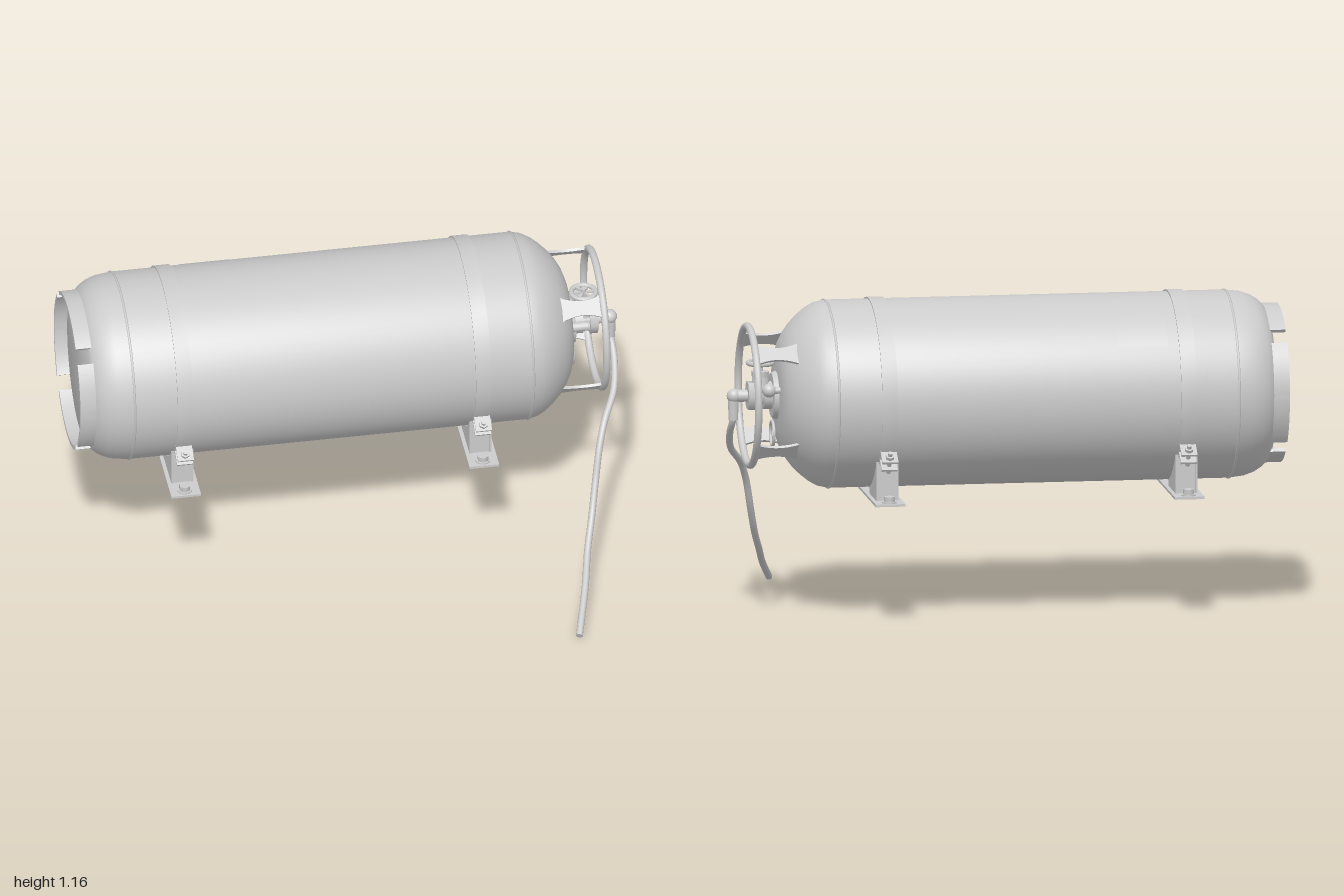
import * as THREE from 'three';
import { toCreasedNormals } from 'three/addons/utils/BufferGeometryUtils.js';

const CY = 0.8125, CZ = -0.238, R = 0.3375;
const mat = new THREE.MeshStandardMaterial({ color: 0xcccccc });
const thin = new THREE.MeshStandardMaterial({ color: 0xcccccc, side: THREE.DoubleSide });

function add(parent, name, geo, x = 0, y = 0, z = 0, m = mat) {
  const mesh = new THREE.Mesh(geo, m);
  mesh.name = name;
  mesh.position.set(x, y, z);
  parent.add(mesh);
  return mesh;
}

// Cylinder lying along x
function rod(r, len, sides = 24, r2 = r) {
  return new THREE.CylinderGeometry(r2, r, len, sides).rotateZ(-Math.PI / 2);
}

// Profile of [x, radius] points revolved about x
function turned(points, sides = 72) {
  const g = new THREE.LatheGeometry(points.map(([x, r]) => new THREE.Vector2(r, x)), sides);
  return toCreasedNormals(g.rotateZ(-Math.PI / 2), 0.6);
}

function extrude(shape, depth, curveSegments = 20) {
  return new THREE.ExtrudeGeometry(shape, { depth, bevelEnabled: false, curveSegments });
}

function buildTank(tank) {
  add(tank, 'tankShell', turned([
    [-0.955, 0], [-0.955, 0.265], [-0.945, 0.284], [-0.925, 0.303], [-0.9, 0.319], [-0.865, 0.331],
    [-0.81, R], [0.64, R], [0.675, 0.33], [0.705, 0.314], [0.735, 0.29], [0.763, 0.262],
    [0.785, 0.233], [0.803, 0.2], [0.815, 0.165], [0.82, 0.12], [0.822, 0]]));
  for (const x of [-0.81, 0.64])
    add(tank, 'weldBead', new THREE.TorusGeometry(R - 0.001, 0.005, 6, 72).rotateY(Math.PI / 2), x);
  // Curved plate on the upper back
  add(tank, 'namePlate', new THREE.CylinderGeometry(R + 0.001, R + 0.001, 0.18, 12, 1, true, 0, 0.42)
    .rotateZ(-Math.PI / 2).rotateX(-2.55), -0.47, 0, 0, thin);

  // Foot ring in four arcs with gaps on the diagonals
  const a0 = Math.PI / 4 + 0.1, a1 = 3 * Math.PI / 4 - 0.1;
  const arc = new THREE.Shape();
  arc.absarc(0, 0, 0.286, a0, a1, false);
  arc.absarc(0, 0, 0.272, a1, a0, true);
  const arcGeo = toCreasedNormals(extrude(arc, 0.07).rotateY(Math.PI / 2), 0.6);
  for (let i = 0; i < 4; i++)
    add(tank, 'footRingSegment', arcGeo, -1).rotation.x = i * Math.PI / 2;

  // Guard ring on four waisted brackets
  add(tank, 'guardRing', new THREE.TorusGeometry(0.25, 0.0135, 12, 72).rotateY(Math.PI / 2), 0.92);
  const s = new THREE.Shape();
  s.moveTo(0.755, -0.05);
  s.quadraticCurveTo(0.84, -0.005, 0.92, -0.045);
  s.lineTo(0.92, 0.045);
  s.quadraticCurveTo(0.84, 0.005, 0.755, 0.05);
  const bracket = extrude(s, 0.01).translate(0, 0, 0.243);
  for (let i = 0; i < 4; i++)
    add(tank, 'guardBracket', bracket).rotation.x = (i + 0.5) * Math.PI / 2;
}

function buildValve(tank) {
  const valve = new THREE.Group();
  valve.name = 'valve';
  tank.add(valve);
  add(valve, 'valveCollar', rod(0.088, 0.02, 32, 0.08), 0.828);
  add(valve, 'valveNeck', rod(0.05, 0.04), 0.85);
  add(valve, 'valveBody', rod(0.036, 0.09), 0.88);
  add(valve, 'outletNut', rod(0.055, 0.03, 6), 0.91);
  add(valve, 'outletPipe', rod(0.022, 0.06), 0.945);
  add(valve, 'elbow', new THREE.SphereGeometry(0.026, 20, 14), 0.973);
  add(valve, 'elbowSleeve', new THREE.CylinderGeometry(0.02, 0.017, 0.085, 20), 0.975, -0.045);

  // Handwheel above the body
  add(valve, 'bonnet', new THREE.CylinderGeometry(0.028, 0.034, 0.05, 20), 0.877, 0.05);
  add(valve, 'bonnetNut', new THREE.CylinderGeometry(0.034, 0.034, 0.02, 6), 0.877, 0.078);
  add(valve, 'valveStem', new THREE.CylinderGeometry(0.01, 0.01, 0.06, 12), 0.877, 0.105);
  add(valve, 'handwheelRim', new THREE.TorusGeometry(0.044, 0.009, 10, 32).rotateX(Math.PI / 2), 0.877, 0.118);
  for (let i = 0; i < 3; i++)
    add(valve, 'handwheelSpoke', new THREE.BoxGeometry(0.085, 0.007, 0.01), 0.877, 0.118).rotation.y = i * Math.PI / 3;

  // Side fittings and hanging loop
  add(valve, 'ballFitting', new THREE.SphereGeometry(0.025, 20, 14), 0.86, 0.033, -0.1);
  add(valve, 'ballStem', rod(0.012, 0.05, 16), 0.838, 0.033, -0.1);
  add(valve, 'plug', rod(0.017, 0.06, 20), 0.848, 0.043, 0.103);
  add(valve, 'plugRim', new THREE.TorusGeometry(0.015, 0.004, 8, 24).rotateY(Math.PI / 2), 0.878, 0.043, 0.103);
  add(valve, 'loop', new THREE.TorusGeometry(0.044, 0.006, 8, 36).rotateY(Math.PI / 2), 0.835, -0.138, -0.008);
}

function buildMount(tank, x) {
  const mount = new THREE.Group();
  mount.name = 'mount';
  mount.position.x = x;
  tank.add(mount);
  const floor = 0.463 - CY, r = R + 0.003;
  add(mount, 'strap', turned([[-0.028, R - 0.004], [-0.028, R + 0.006], [0.028, R + 0.006], [0.028, R - 0.004]]));
  add(mount, 'basePlate', new THREE.BoxGeometry(0.108, 0.009, 0.7), 0, floor - 0.004, 0);

  // Saddle gusset following the tank underside
  const a = Math.asin(0.27 / r), b = Math.asin(0.1 / r);
  const s = new THREE.Shape();
  s.moveTo(0.1, floor);
  s.lineTo(0.27, floor);
  s.absarc(0, 0, r, a - Math.PI / 2, b - Math.PI / 2, true);
  const gusset = extrude(s, 0.008).rotateY(-Math.PI / 2);

  for (const side of [0, Math.PI]) {
    const half = new THREE.Group();
    half.name = 'mountHalf';
    half.rotation.y = side;
    mount.add(half);
    for (const gx of [-0.032, 0.04]) add(half, 'gusset', gusset, gx);
    add(half, 'saddleWeb', new THREE.BoxGeometry(0.08, 0.14, 0.008), 0, floor + 0.07, 0.262);
    add(half, 'baseBoltWasher', new THREE.CylinderGeometry(0.026, 0.026, 0.005, 20), 0, floor + 0.003, 0.318);
    add(half, 'baseBolt', new THREE.CylinderGeometry(0.021, 0.021, 0.02, 6), 0, floor + 0.014, 0.318);

    // Clamp ears and tightening bolt; local z is radial, local y is tangential
    const clamp = new THREE.Group();
    clamp.name = 'strapClamp';
    clamp.rotation.x = 0.57;
    half.add(clamp);
    for (const y of [-0.018, 0.018]) {
      add(clamp, 'clampEar', new THREE.BoxGeometry(0.058, 0.008, 0.066), 0, y, 0.366);
      add(clamp, 'clampNut', new THREE.CylinderGeometry(0.016, 0.016, 0.012, 6), 0, y * 1.55, 0.376);
    }
    add(clamp, 'clampBolt', new THREE.CylinderGeometry(0.008, 0.008, 0.095, 12), 0, 0, 0.376);
  }
}

function buildHose(model) {
  const path = [
    [0.975, 0.77, -0.237], [0.976, 0.725, -0.232], [0.979, 0.672, -0.183], [0.962, 0.6, -0.088],
    [0.912, 0.53, 0.006], [0.885, 0.46, 0.06], [0.86, 0.347, 0.117], [0.835, 0.246, 0.186],
    [0.805, 0.167, 0.275], [0.775, 0.1, 0.4], [0.723, 0.012, 0.58]];
  const curve = new THREE.CatmullRomCurve3(path.map(p => new THREE.Vector3(...p)));
  add(model, 'hose', new THREE.TubeGeometry(curve, 90, 0.0125, 12), 0, 0, 0, thin);
  // Close the free end
  const cap = add(model, 'hoseEnd', new THREE.CircleGeometry(0.0125, 12), ...path[path.length - 1], thin);
  cap.lookAt(cap.position.clone().add(curve.getTangent(1)));
}

export function createModel() {
  const model = new THREE.Group();
  model.name = 'gasCylinder';
  const tank = new THREE.Group();
  tank.name = 'tank';
  tank.position.set(0, CY, CZ);
  model.add(tank);
  buildTank(tank);
  buildValve(tank);
  for (const x of [-0.627, 0.457]) buildMount(tank, x);
  buildHose(model);
  return model;
}
